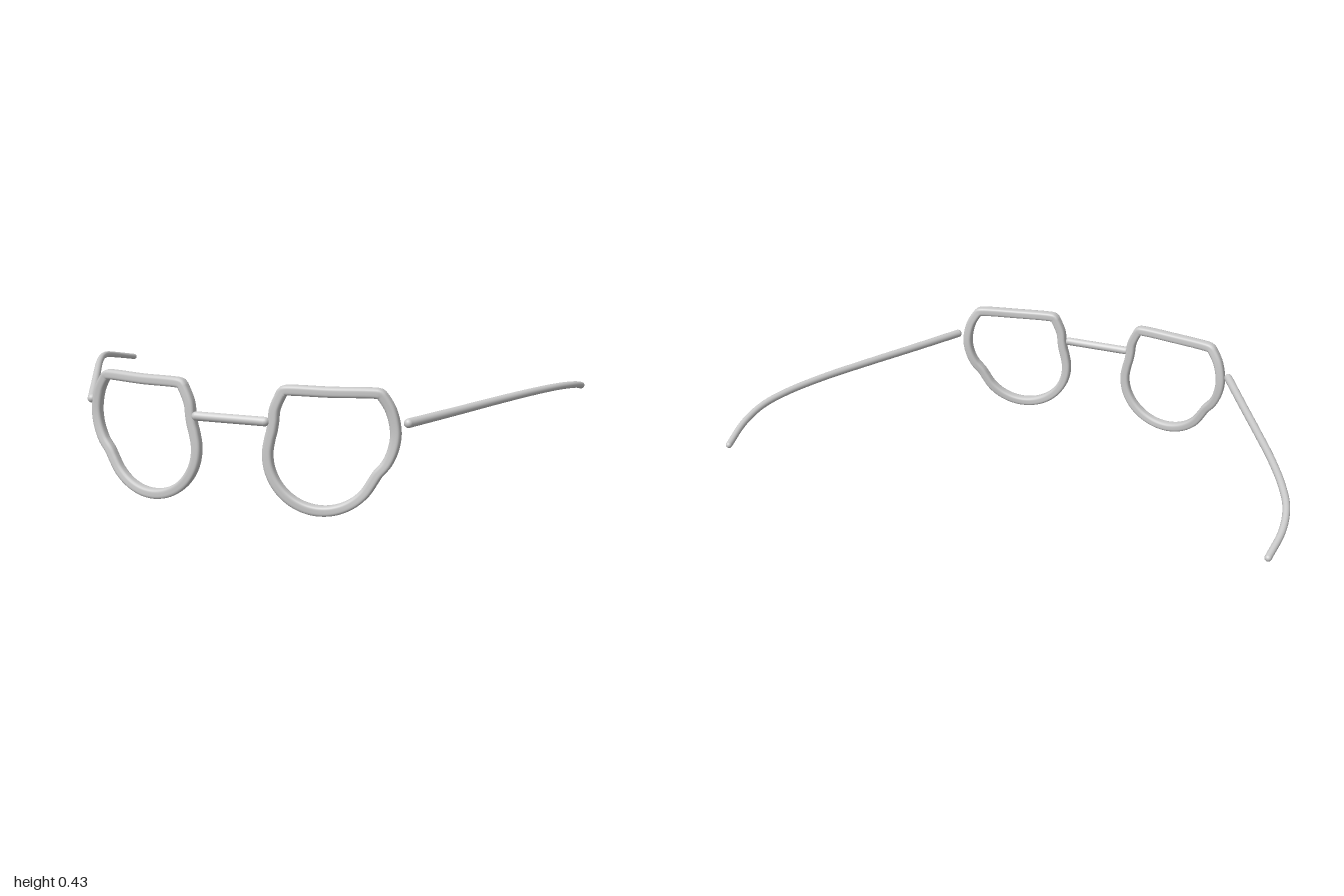
import * as THREE from 'three';
import { mergeVertices } from 'three/addons/utils/BufferGeometryUtils.js';

const material = new THREE.MeshStandardMaterial({ color: 0xcccccc });

// Tube along a curve; shape(offset, t) reshapes each ring, given vertex offsets from its centre
function makeTube(name, points, closed, radius, segments, shape) {
  const curve = new THREE.CatmullRomCurve3(points, closed, 'centripetal');
  const sides = 24;
  let geometry = new THREE.TubeGeometry(curve, segments, radius, sides, closed);
  const pos = geometry.attributes.position;
  const v = new THREE.Vector3();
  for (let i = 0; i <= segments; i++) {
    const t = i / segments;
    const centre = curve.getPointAt(t);
    for (let j = 0; j <= sides; j++) {
      const n = i * (sides + 1) + j;
      v.fromBufferAttribute(pos, n).sub(centre);
      shape(v, t);
      v.add(centre);
      pos.setXYZ(n, v.x, v.y, v.z);
    }
  }
  // Weld the seams so the shading stays smooth all round
  geometry.deleteAttribute('uv');
  geometry.deleteAttribute('normal');
  geometry = mergeVertices(geometry, 1e-5);
  geometry.computeVertexNormals();
  const mesh = new THREE.Mesh(geometry, material);
  mesh.name = name;
  return mesh;
}

// Rounded-square section, slightly deeper front to back, with flats facing front and outward
function squareOff(v) {
  const r = v.length();
  const a = Math.hypot(v.x, v.y) / r;
  const b = Math.abs(v.z) / r;
  v.multiplyScalar(Math.pow(a ** 4.5 + b ** 4.5, -1 / 4.5));
  v.z *= 1.06;
}

// Round rod tapering from r0 to r1, with rounded ends
function makeRod(name, points, r0, r1, segments) {
  const group = new THREE.Group();
  group.name = name;
  group.add(makeTube(name + 'Rod', points, false, r0, segments,
    (v, t) => v.multiplyScalar(THREE.MathUtils.lerp(1, r1 / r0, t))));
  [[points[0], r0], [points[points.length - 1], r1]].forEach(([p, r]) => {
    const cap = new THREE.Mesh(new THREE.SphereGeometry(r, 20, 12), material);
    cap.name = name + 'End';
    cap.position.copy(p);
    group.add(cap);
  });
  return group;
}

// Rim outline: flat brow with crisp corners, bulging outer side, then a round bottom
function rimOutline() {
  const outline = [
    [0.152, 0.350], [0.175, 0.403], [0.179, 0.410], [0.187, 0.413], [0.335, 0.413],
    [0.483, 0.413], [0.491, 0.410], [0.497, 0.403], [0.523, 0.358],
    [0.538, 0.288], [0.532, 0.233], [0.512, 0.183], [0.483, 0.146],
  ];
  for (let deg = -25; deg >= -196; deg -= 14.25) {
    const a = THREE.MathUtils.degToRad(deg);
    outline.push([0.306 + 0.179 * Math.cos(a), 0.196 + 0.179 * Math.sin(a)]);
  }
  outline.push([0.142, 0.277], [0.147, 0.308]);
  return outline;
}

// Temple arm: splays outward, then curls in and down behind the ear
const TEMPLE = [
  [0.573, 0.315, 0.482], [0.676, 0.320, 0.277], [0.778, 0.326, 0.075], [0.868, 0.329, -0.105],
  [0.938, 0.325, -0.260], [0.975, 0.314, -0.368], [0.986, 0.294, -0.475], [0.971, 0.268, -0.598],
];

export function createModel() {
  const model = new THREE.Group();
  model.name = 'eyeglasses';

  for (const [side, s] of [['left', 1], ['right', -1]]) {
    // The rims follow a gentle wrap around the face
    const rim = rimOutline().map(([x, y]) => new THREE.Vector3(s * x, y, 0.584 - 0.27 * x * x));
    model.add(makeTube(side + 'Rim', rim, true, 0.0168, 240, squareOff));

    const temple = TEMPLE.map(([x, y, z]) => new THREE.Vector3(s * x, y, z));
    model.add(makeRod(side + 'Temple', temple, 0.0155, 0.0115, 80));
  }

  // Straight bridge overlapping the front of both rims
  const bridge = [-0.122, 0, 0.122].map((x) => new THREE.Vector3(x, 0.308, 0.591));
  model.add(makeRod('bridge', bridge, 0.0155, 0.0155, 8));

  return model;
}
